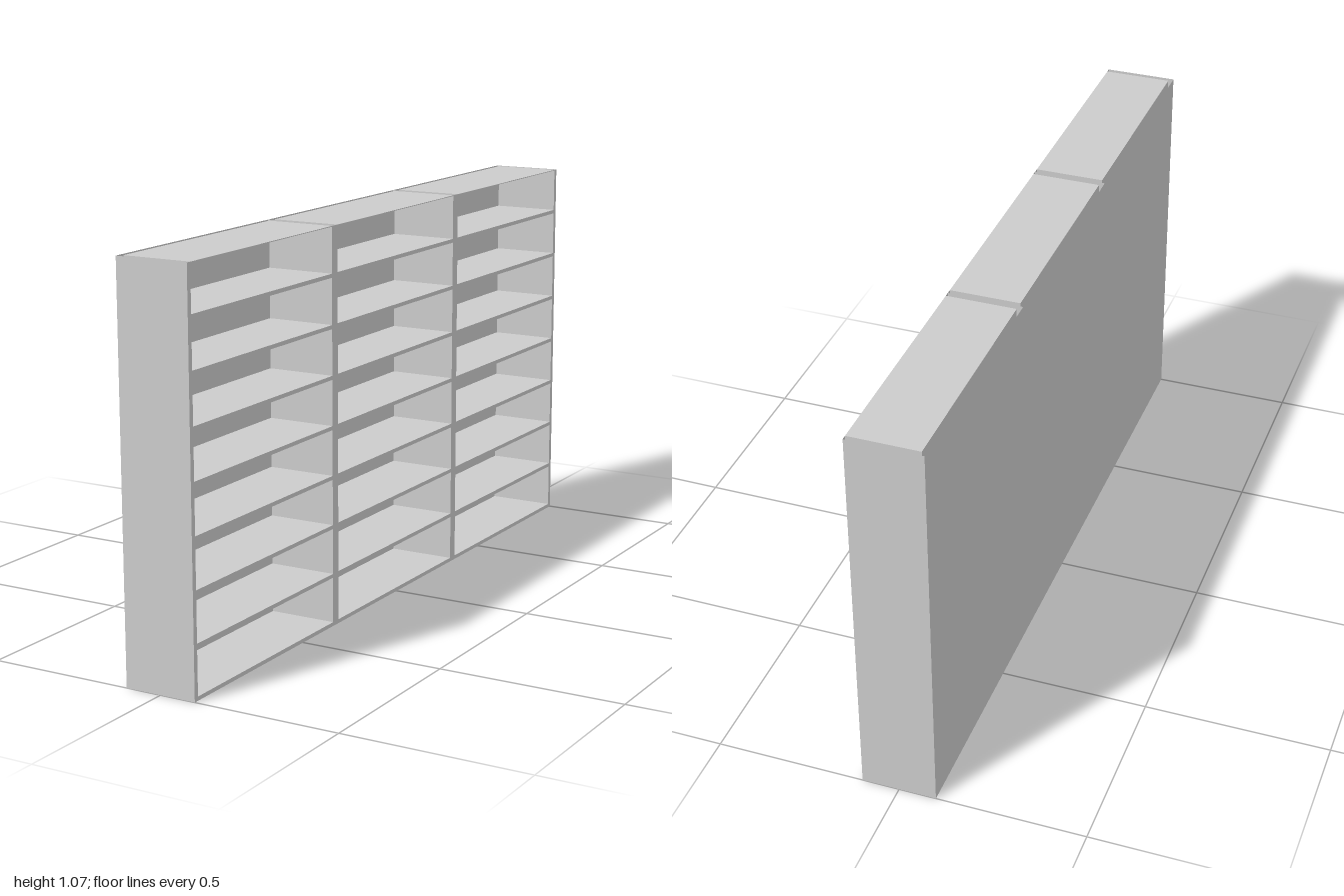
import * as THREE from 'three';

const HEIGHT = 1.067, BAYS = 3, ROWS = 8;
const FRONT = 0.1, BACK = -0.1, BAY = 2 / BAYS;
const WALL = 0.014, BACK_WALL = 0.012, BOARD = 0.0107;

const material = new THREE.MeshStandardMaterial({ color: 0xcccccc, side: THREE.DoubleSide });

// Vertical wall following a closed [x, z] outline, open at top and bottom
function uprightShell(outline, height) {
  const position = [];
  outline.forEach(([ax, az], i) => {
    const [bx, bz] = outline[(i + 1) % outline.length];
    position.push(ax, 0, az, ax, height, az, bx, height, bz);
    position.push(ax, 0, az, bx, height, bz, bx, 0, bz);
  });
  const geometry = new THREE.BufferGeometry();
  geometry.setAttribute('position', new THREE.Float32BufferAttribute(position, 3));
  geometry.computeVertexNormals();
  return geometry;
}

function addMesh(parent, name, geometry, y = 0) {
  const mesh = new THREE.Mesh(geometry, material);
  mesh.name = name;
  mesh.position.y = y;
  parent.add(mesh);
  return mesh;
}

export function createModel() {
  const model = new THREE.Group();
  model.name = 'shelvingUnit';

  // U-shaped carcass: two side walls and a back wall, hollow inside
  const zo = BAY / 2, zi = zo - WALL, xi = BACK + BACK_WALL;
  const carcass = uprightShell([
    [FRONT, zo], [BACK, zo], [BACK, -zo], [FRONT, -zo],
    [FRONT, -zi], [xi, -zi], [xi, zi], [FRONT, zi],
  ], HEIGHT);

  // Boards fill the space between the walls; the top is a thin sheet
  const depth = FRONT - xi, centreX = (FRONT + xi) / 2;
  const board = new THREE.BoxGeometry(depth, BOARD, 2 * zi).translate(centreX, BOARD / 2, 0);
  const sheet = new THREE.BoxGeometry(depth, 0.002, 2 * zi).translate(centreX, -0.001, 0);

  for (let b = 0; b < BAYS; b++) {
    const bay = new THREE.Group();
    bay.name = `bay${b + 1}`;
    bay.position.z = (b - (BAYS - 1) / 2) * BAY;
    addMesh(bay, 'carcass', carcass);
    for (let r = 0; r < ROWS; r++) {
      addMesh(bay, r ? `shelf${r}` : 'bottomBoard', board, r * HEIGHT / ROWS);
    }
    addMesh(bay, 'topSheet', sheet, HEIGHT);
    model.add(bay);
  }
  return model;
}
